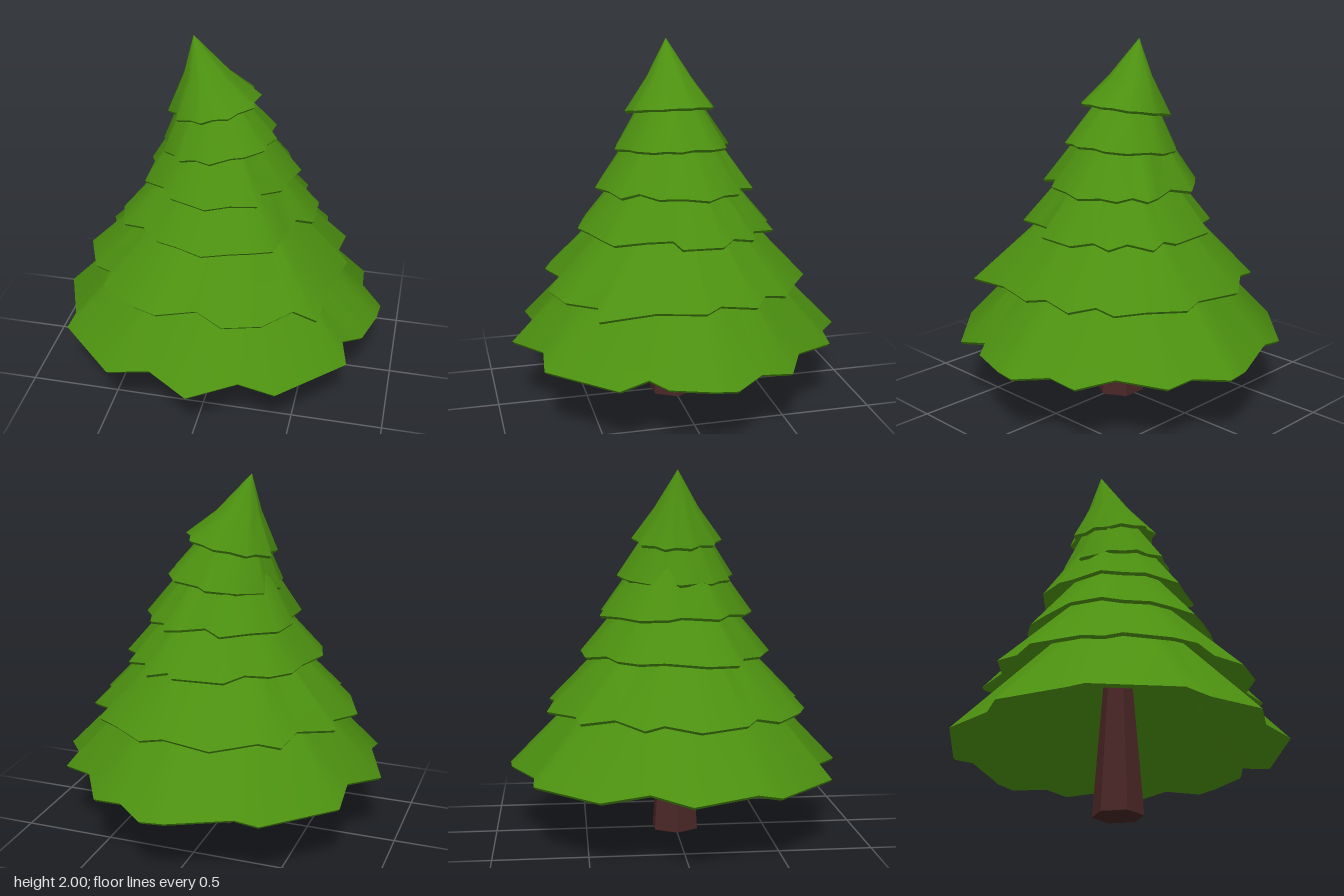
import * as THREE from 'three';

const leafGreen = new THREE.MeshStandardMaterial({ color: 0x4c9010 });
const barkBrown = new THREE.MeshStandardMaterial({ color: 0x4a2626 });

// Smooth closed surface through rings of points, listed from lower to upper
function skin(rings) {
  const n = rings[0].length, index = [];
  for (let r = 0; r < rings.length - 1; r++) {
    for (let i = 0; i < n; i++) {
      const j = (i + 1) % n;
      const a = r * n + i, b = r * n + j, c = b + n, d = a + n;
      index.push(b, a, d, b, d, c);
    }
  }
  const geometry = new THREE.BufferGeometry();
  geometry.setAttribute('position', new THREE.Float32BufferAttribute(rings.flat(2), 3));
  geometry.setIndex(index);
  geometry.computeVertexNormals();
  return geometry;
}

// Hollow skirt of branches: a jagged rim (x, z pairs) rising to round rings [centreX, y, radius]
function branchTier(name, y, lean, upper, rim) {
  const points = [];
  for (let i = 0; i < rim.length; i += 2) points.push([rim[i], rim[i + 1]]);
  const longest = Math.max(...points.map(([x, z]) => Math.hypot(x, z)));

  // Notches sit slightly higher than tips
  const outerRim = points.map(([x, z]) =>
    [x, y + lean * x + 0.25 * (longest - Math.hypot(x, z)) * (lean ? 0.4 : 1), z]);
  const ring = ([cx, ry, radius]) => points.map(([x, z]) => {
    const a = Math.atan2(z, x);
    return [cx + radius * Math.cos(a), ry, radius * Math.sin(a)];
  });
  const outer = [outerRim, ...upper.map(ring)];

  // Inner wall lies just below and inside the outer wall
  const innerRim = outerRim.map(([x, ry, z]) => {
    const k = 1 - 0.012 / Math.hypot(x, z);
    return [x * k, ry - 0.014, z * k];
  });
  const inner = [innerRim, ...upper.map(([cx, ry, r]) => ring([cx, ry - 0.015, Math.max(r - 0.012, 0)]))];

  const group = new THREE.Group();
  group.name = name;
  const parts = { outside: outer, edge: [innerRim, outerRim], underside: [...inner].reverse() };
  for (const [part, rings] of Object.entries(parts)) {
    const mesh = new THREE.Mesh(skin(rings), leafGreen);
    mesh.name = part;
    group.add(mesh);
  }
  return group;
}

export function createModel() {
  const tree = new THREE.Group();
  tree.name = 'pineTree';

  // Six-sided tapering trunk
  const trunkShape = new THREE.CylinderGeometry(0.06, 0.138, 1, 6).rotateY(Math.PI / 6).toNonIndexed();
  trunkShape.computeVertexNormals();
  const trunk = new THREE.Mesh(trunkShape, barkBrown);
  trunk.name = 'trunk';
  trunk.position.y = 0.505;
  tree.add(trunk);

  // Branch tiers from bottom to top
  tree.add(
    branchTier('bottomTier', 0.37, 0, [[0, 0.95, 0.36]], [
      0, -0.91, 0.13, -0.92, 0.29, -0.8, 0.45, -0.78, 0.59, -0.55, 0.78, -0.45, 0.79, -0.28, 0.91, -0.12,
      0.9, 0, 0.84, 0.22, 0.74, 0.3, 0.78, 0.46, 0.45, 0.79, 0.25, 0.77, 0, 0.91, -0.23, 0.77,
      -0.46, 0.79, -0.79, 0.46, -0.78, 0.34, -0.91, 0, -0.77, -0.2, -0.79, -0.45, -0.46, -0.78, -0.33, -0.78,
    ]),
    branchTier('secondTier', 0.69, 0, [[0, 1.2, 0.25]], [
      -0.17, -0.71, 0.1, -0.67, 0.22, -0.7, 0.4, -0.58, 0.54, -0.49, 0.55, -0.37, 0.67, -0.29, 0.65, -0.1,
      0.71, -0.01, 0.65, 0.24, 0.62, 0.53, 0.49, 0.51, 0.35, 0.66, 0.15, 0.72, 0, 0.64, -0.21, 0.69,
      -0.34, 0.64, -0.55, 0.49, -0.55, 0.37, -0.65, 0.31, -0.75, 0.06, -0.66, -0.12, -0.7, -0.22,
      -0.53, -0.36, -0.5, -0.54, -0.38, -0.56,
    ]),
    branchTier('thirdTier', 0.995, 0, [[0, 1.42, 0.18]], [
      0.11, -0.52, 0.15, -0.47, 0.26, -0.5, 0.32, -0.37, 0.43, -0.34, 0.43, -0.23, 0.52, -0.15, 0.52, 0.07,
      0.43, 0.1, 0.4, 0.24, 0.36, 0.4, 0.25, 0.45, 0.13, 0.49, 0, 0.53, -0.14, 0.48, -0.26, 0.44,
      -0.36, 0.33, -0.48, 0.29, -0.53, 0.12, -0.48, -0.1, -0.46, -0.23, -0.37, -0.34, -0.25, -0.39, -0.17, -0.5,
    ]),
    branchTier('fourthTier', 1.22, 0, [[-0.03, 1.58, 0.17]], [
      -0.12, -0.42, -0.02, -0.36, 0.12, -0.4, 0.2, -0.4, 0.23, -0.32, 0.32, -0.29, 0.35, -0.2, 0.42, -0.1,
      0.39, 0.02, 0.36, 0.16, 0.26, 0.24, 0.26, 0.34, 0.12, 0.38, 0, 0.43, -0.2, 0.36, -0.26, 0.27,
      -0.38, 0.2, -0.38, 0, -0.41, -0.07, -0.38, -0.22, -0.26, -0.32,
    ]),
    branchTier('fifthTier', 1.43, 0.1, [[-0.06, 1.72, 0.13]], [
      0, -0.32, 0.05, -0.28, 0.2, -0.25, 0.27, -0.15, 0.26, -0.06, 0.3, 0.02, 0.26, 0.1, 0.26, 0.16,
      0.17, 0.24, 0.1, 0.26, 0, 0.32, -0.08, 0.28, -0.17, 0.28, -0.21, 0.22, -0.28, 0.17, -0.28, 0.1,
      -0.32, 0, -0.27, -0.08, -0.28, -0.16, -0.16, -0.27,
    ]),
    branchTier('topTier', 1.63, 0.16, [[-0.08, 1.8, 0.12], [-0.15, 2, 0]], [
      -0.02, -0.24, 0.05, -0.21, 0.13, -0.19, 0.16, -0.1, 0.2, -0.06, 0.18, 0.04, 0.19, 0.1, 0.12, 0.16,
      0.08, 0.22, 0, 0.22, -0.06, 0.25, -0.12, 0.21, -0.2, 0.19, -0.22, 0.11, -0.28, 0.06, -0.26, -0.02,
      -0.29, -0.08, -0.22, -0.13, -0.19, -0.2, -0.1, -0.21,
    ]),
  );
  return tree;
}
